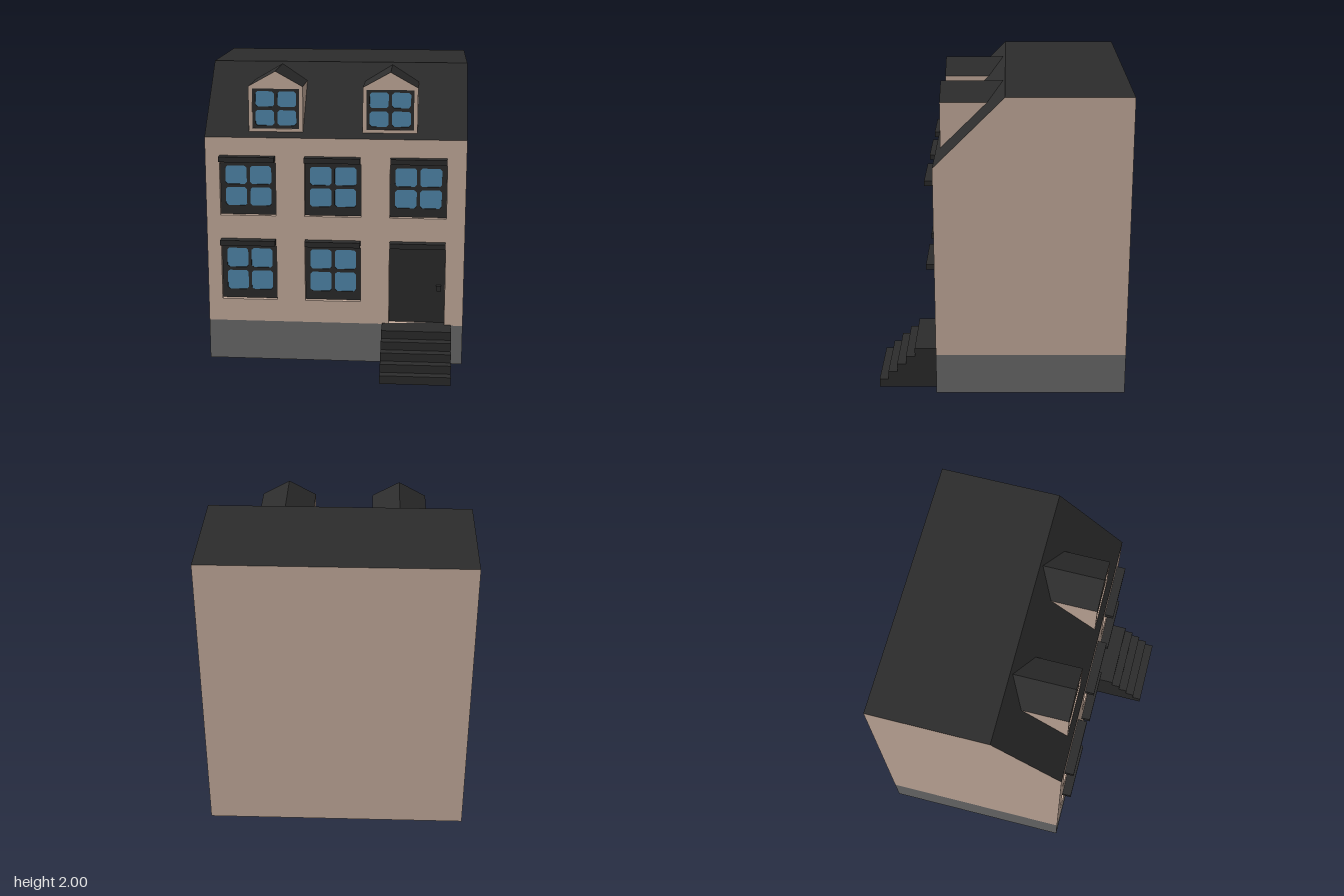
import * as THREE from 'three';

const mat = (name, color) => new THREE.MeshStandardMaterial({ name, color, side: THREE.DoubleSide });

// Open strip: a polyline in xy swept along z, centred on z = 0
function strip(points, depth) {
  const pos = [], h = depth / 2;
  for (let i = 0; i < points.length - 1; i++) {
    const [ax, ay] = points[i], [bx, by] = points[i + 1];
    pos.push(ax, ay, h, ax, ay, -h, bx, by, -h, ax, ay, h, bx, by, -h, bx, by, h);
  }
  const g = new THREE.BufferGeometry();
  g.setAttribute('position', new THREE.Float32BufferAttribute(pos, 3));
  g.computeVertexNormals();
  return g;
}

const polygon = (points) => new THREE.Shape(points.map(([x, y]) => new THREE.Vector2(x, y)));
const rect = (x0, x1, y0, y1) => [[x0, y0], [x1, y0], [x1, y1], [x0, y1]];
// Pane outline: a rectangle with clipped corners
const pane = (x0, x1, y0, y1, c) => [
  [x0 + c, y0], [x1 - c, y0], [x1, y0 + c], [x1, y1 - c],
  [x1 - c, y1], [x0 + c, y1], [x0, y1 - c], [x0, y0 + c]];
const sheet = (outline, holes = []) => {
  const s = polygon(outline);
  s.holes = holes.map(polygon);
  return s;
};
// Turns a profile drawn as (z, y) so that it stands across x
const acrossX = (g) => g.rotateY(-Math.PI / 2);

export function createModel() {
  const house = new THREE.Group();
  house.name = 'house';
  const wall = mat('wall', 0xc9b0a0);
  const dark = mat('slate', 0x2c2c2c);
  const stone = mat('plinth', 0x6d6d6d);
  const glass = mat('glass', 0x538cb1);

  const add = (parent, name, geometry, material, x = 0, y = 0, z = 0) => {
    const m = new THREE.Mesh(geometry, material);
    m.name = name;
    m.position.set(x, y, z);
    parent.add(m);
    return m;
  };

  const W = 0.865, back = -0.81, front = 0.43, base = 0.275, eave = 1.55, depth = 0.045;
  const columns = [-0.5825, -0.015, 0.5525], half = 0.1875;

  // Reveal, frame with four panes, and glass, set back in an opening
  function addWindow(parent, x, y0, y1, z, hw, d, side, sill, top) {
    const g = new THREE.Group();
    g.name = 'window';
    g.position.set(x, 0, z);
    const outline = rect(-hw, hw, y0, y1);
    add(g, 'windowReveal', strip([...outline, outline[0]], d), wall, 0, 0, -d / 2);
    const a = y0 + sill, b = y1 - top, mid = (a + b) / 2, bar = 0.011;
    const panes = [];
    for (const [x0, x1] of [[-hw + side, -bar], [bar, hw - side]])
      for (const [p, q] of [[a, mid - bar], [mid + bar, b]]) panes.push(pane(x0, x1, p, q, 0.014));
    const frame = new THREE.ExtrudeGeometry(sheet(outline, panes), { depth: 0.012, bevelEnabled: false });
    add(g, 'windowFrame', frame, dark, 0, 0, -d);
    add(g, 'windowGlass', new THREE.PlaneGeometry(2 * hw - 0.02, y1 - y0 - 0.02), glass, 0, (y0 + y1) / 2, -d + 0.006);
    parent.add(g);
  }

  // Front wall with openings, windows and lintels
  const openings = [];
  for (const [row, y0, y1] of [[0, 0.43, 0.81], [1, 1.02, 1.38]]) {
    columns.forEach((x, i) => {
      const isDoor = row === 0 && i === 2;
      openings.push(rect(x - half, x + half, isDoor ? 0.28 : y0, y1));
      if (!isDoor) addWindow(house, x, y0, y1, front, half, depth, 0.033, 0.06, 0.028);
      add(house, 'lintel', new THREE.BoxGeometry(0.37, 0.035, 0.06), dark, x, y1 + 0.031, front + 0.03);
    });
  }
  add(house, 'frontWall', new THREE.ShapeGeometry(sheet(rect(-W, W, base, eave), openings)), wall, 0, 0, front);

  // Side and back walls
  const gable = [[back, base], [front, base], [front, eave], [-0.02, 2], [back, 2]];
  for (const s of [-1, 1]) {
    add(house, 'sideWall', acrossX(new THREE.ShapeGeometry(polygon(gable))), wall, s * W);
    add(house, 'sidePlinth', acrossX(new THREE.ShapeGeometry(polygon(rect(back, front, 0, base)))), stone, s * W);
  }
  add(house, 'backWall', new THREE.PlaneGeometry(2 * W, 2).rotateY(Math.PI), wall, 0, 1, back);

  // Front plinth, left open behind the steps
  for (const [x0, x1] of [[-W, 0.32], [0.785, W]])
    add(house, 'frontPlinth', new THREE.PlaneGeometry(x1 - x0, base), stone, (x0 + x1) / 2, base / 2, front);

  // Flat roof and front slope
  add(house, 'roof', acrossX(strip([[back, 2], [-0.02, 2], [front, eave]], 2 * W)), dark);

  // Door
  const doorX = columns[2];
  const doorway = rect(-half, half, 0.28, 0.81);
  add(house, 'doorReveal', strip([...doorway, doorway[0]], depth), wall, doorX, 0, front - depth / 2);
  add(house, 'door', new THREE.PlaneGeometry(2 * half, 0.53), dark, doorX, 0.545, front - depth);
  add(house, 'doorHandle', new THREE.BoxGeometry(0.035, 0.035, 0.03), dark, 0.698, 0.53, front - depth + 0.015);

  // Steps: treads and risers between two cheeks, open underneath
  const steps = [[0.385, 0.28]];
  for (let i = 0; i < 5; i++) {
    const z = 0.575 + i * 0.0595;
    steps.push([z, 0.28 - i * 0.056], [z, 0.28 - (i + 1) * 0.056]);
  }
  const stairs = new THREE.Group();
  stairs.name = 'stairs';
  stairs.position.x = 0.5525;
  house.add(stairs);
  add(stairs, 'treads', acrossX(strip(steps, 0.465)), dark);
  for (const s of [-1, 1])
    add(stairs, 'stairCheek', acrossX(new THREE.ShapeGeometry(polygon([[0.385, 0], ...steps]))), dark, s * 0.2325);

  // Dormers
  for (const x of [-0.393, 0.36]) {
    const dormer = new THREE.Group();
    dormer.name = 'dormer';
    dormer.position.x = x;
    house.add(dormer);
    const hw = 0.18, z = 0.397, y0 = 1.585, y1 = 1.885, peak = 1.985;
    const face = [[-hw, y0], [hw, y0], [hw, y1], [0, peak], [-hw, y1]];
    add(dormer, 'dormerFront', new THREE.ShapeGeometry(sheet(face, [rect(-0.155, 0.155, 1.605, 1.87)])), wall, 0, 0, z);
    addWindow(dormer, 0, 1.605, 1.87, z, 0.155, 0.02, 0.02, 0.02, 0.018);
    for (const s of [-1, 1])
      add(dormer, 'dormerCheek', acrossX(new THREE.ShapeGeometry(polygon([[z, y0], [z, y1], [0.095, y1]]))), wall, s * hw);
    add(dormer, 'dormerRoof', strip([[-hw, y1], [0, peak], [hw, y1]], 0.402), dark, 0, 0, 0.196);
  }
  return house;
}
